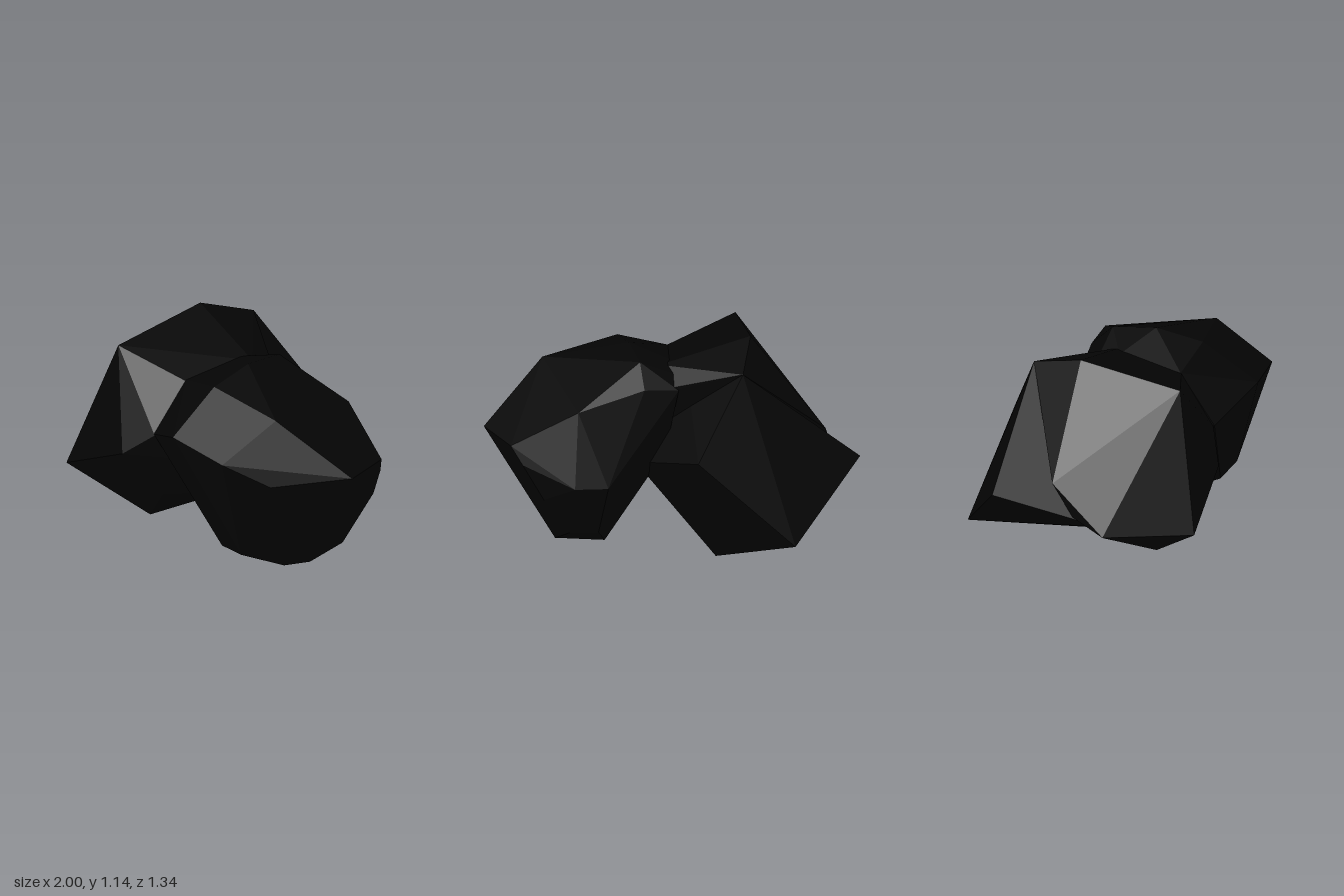
import * as THREE from 'three';
import { ConvexGeometry } from 'three/addons/geometries/ConvexGeometry.js';

export function createModel() {
  const group = new THREE.Group();
  group.name = 'rockCluster';
  const stone = new THREE.MeshStandardMaterial({ color: 0x040404, flatShading: true });

  // Each rock is the faceted hull of its corner points.
  function rock(name, corners) {
    const mesh = new THREE.Mesh(
      new ConvexGeometry(corners.map((c) => new THREE.Vector3(...c))), stone);
    mesh.name = name;
    group.add(mesh);
  }

  // Tilted slab at the back, its far end buried in the other rocks
  rock('backRock', [
    [-1, 0.53, -0.37], [-0.61, 0.135, -0.67], [-0.21, 0, -0.4],
    [-0.09, 0.61, -0.6], [-0.36, 1.035, -0.385],
    [-0.84, 0.37, 0.19], [-0.3, 0.06, -0.05], [0.03, 0.25, -0.08],
    [0.2, 0.48, -0.18], [-0.1, 0.96, 0.05],
  ]);

  // Blocky boulder at the front, joined to the slab's upper edge
  rock('frontRock', [
    [-0.92, 0.35, 0.24], [-0.66, 0.325, 0.67], [-0.22, 0.53, 0.635],
    [-0.43, 1.06, 0.495], [-0.44, 1.14, -0.08], [-0.36, 1.035, -0.385],
    [-0.36, 0.025, 0.33], [-0.15, 0.25, 0.41],
    [-0.85, 0.585, -0.08], [-0.88, 0.42, 0.05],
    // buried end
    [-0.06, 0.67, 0.54], [-0.03, 0.945, 0.34], [0.05, 0.985, -0.05],
    [-0.03, 0.91, -0.23], [0.1, 0.88, -0.17], [0.2, 0.87, 0.25],
    [0.1, 0.55, 0.42], [0.09, 0.28, 0.18], [0.04, 0.25, -0.05],
    [-0.3, 0.06, -0.05],
  ]);

  // Rounder boulder at the side
  rock('sideRock', [
    // crown
    [0.23, 1.015, 0.36], [0.2, 1.065, 0.1], [0.17, 1.04, -0.14],
    [0.65, 0.94, 0.27], [0.16, 0.92, -0.26], [0.53, 0.835, -0.33],
    // middle
    [0.26, 0.815, 0.67], [0.61, 0.76, 0.61], [0.78, 0.63, 0.41],
    [1, 0.65, 0.02], [0.89, 0.64, -0.27], [0.83, 0.54, -0.31],
    [0.72, 0.35, -0.35], [0.56, 0.43, -0.43], [0.38, 0.43, -0.44],
    // foot
    [0.62, 0.01, 0.01], [0.61, 0.035, 0.18], [0.36, 0.05, 0.25],
    [0.37, 0.045, -0.2], [0.64, 0.07, -0.2], [0.58, 0.14, -0.32],
    [0.42, 0.14, -0.33], [0.36, 0.13, 0.41], [0.55, 0.15, 0.43],
    // buried end
    [-0.06, 0.68, 0.545], [-0.04, 0.95, 0.34], [-0.03, 0.99, -0.02],
    [-0.03, 0.96, -0.14], [-0.03, 0.9, -0.23], [0.04, 0.4, 0.3],
    [0.04, 0.55, -0.22],
  ]);

  return group;
}
